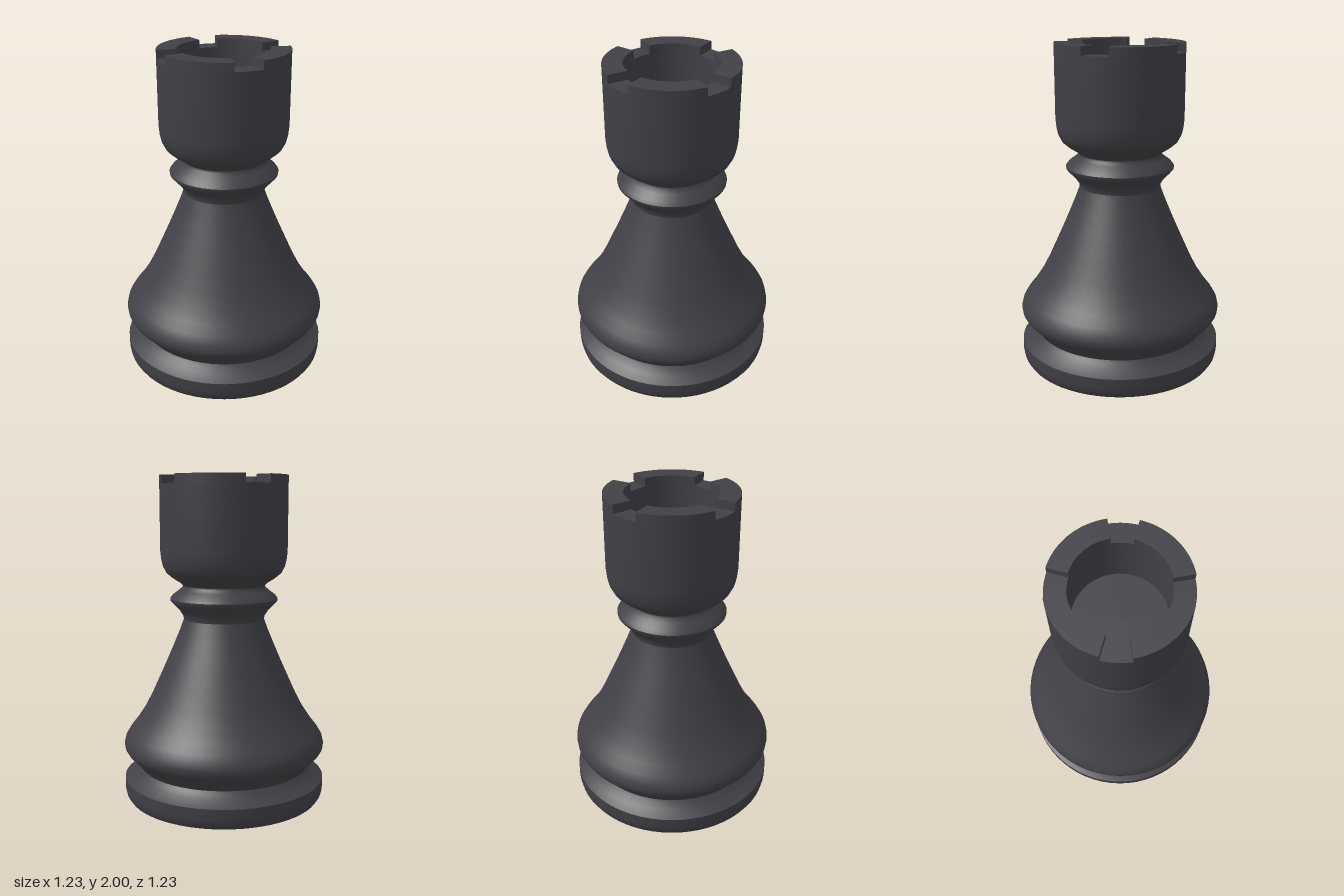
import * as THREE from 'three';
import { toCreasedNormals } from 'three/addons/utils/BufferGeometryUtils.js';

const SEGMENTS = 64;
const RIM = 0.38, WELL = 0.265, NOTCH_Y = 1.95, TOP = 2;

// Profile pieces, listed from bottom to top as [radius, height]
const PROFILES = {
  foot: [[0, 0], [0.03, 0.02], [0.57, 0.042], [0.592, 0.05], [0.608, 0.075], [0.615, 0.11],
    [0.615, 0.175], [0.56, 0.203], [0.53, 0.23], [0.518, 0.245]],
  body: [[0.518, 0.245], [0.53, 0.265], [0.56, 0.3], [0.598, 0.34], [0.612, 0.365], [0.615, 0.39],
    [0.607, 0.425], [0.58, 0.47], [0.54, 0.52], [0.49, 0.595], [0.44, 0.69], [0.39, 0.8],
    [0.345, 0.9], [0.302, 1.0], [0.265, 1.09], [0.243, 1.15]],
  collar: [[0.243, 1.15], [0.246, 1.17], [0.268, 1.205], [0.305, 1.243], [0.322, 1.262],
    [0.324, 1.276], [0.31, 1.295], [0.27, 1.325], [0.25, 1.343], [0.247, 1.355]],
  head: [[0.247, 1.355], [0.262, 1.37], [0.31, 1.4], [0.345, 1.43], [0.365, 1.468], [0.375, 1.51],
    [RIM, 1.56], [RIM, NOTCH_Y], [WELL, NOTCH_Y], [WELL, 1.6], [0, 1.6]],
};

// Ring segment of the battlement, hanging down from the top plane
function merlonGeometry(start, end) {
  const shape = new THREE.Shape();
  shape.absarc(0, 0, RIM, start, end, false);
  shape.absarc(0, 0, WELL, end, start, true);
  const geometry = new THREE.ExtrudeGeometry(shape, {
    depth: TOP - NOTCH_Y, bevelEnabled: false, curveSegments: 12,
  });
  geometry.rotateX(Math.PI / 2);
  return toCreasedNormals(geometry, 0.6);
}

export function createModel() {
  const model = new THREE.Group();
  model.name = 'rook';
  const ebony = new THREE.MeshStandardMaterial({ color: 0x414046 });
  ebony.name = 'ebony';

  // Turned parts
  for (const [name, profile] of Object.entries(PROFILES)) {
    const points = profile.map(([r, y]) => new THREE.Vector2(r, y));
    const geometry = toCreasedNormals(new THREE.LatheGeometry(points, SEGMENTS), 0.6);
    const mesh = new THREE.Mesh(geometry, ebony);
    mesh.name = name;
    model.add(mesh);
  }

  // Four merlons separated by narrow notches
  const battlement = new THREE.Group();
  battlement.name = 'battlement';
  const merlon = merlonGeometry(THREE.MathUtils.degToRad(31.5), THREE.MathUtils.degToRad(96.5));
  for (let i = 0; i < 4; i++) {
    const mesh = new THREE.Mesh(merlon, ebony);
    mesh.name = 'merlon';
    mesh.position.y = TOP;
    mesh.rotation.y = i * Math.PI / 2;
    battlement.add(mesh);
  }
  model.add(battlement);
  return model;
}
